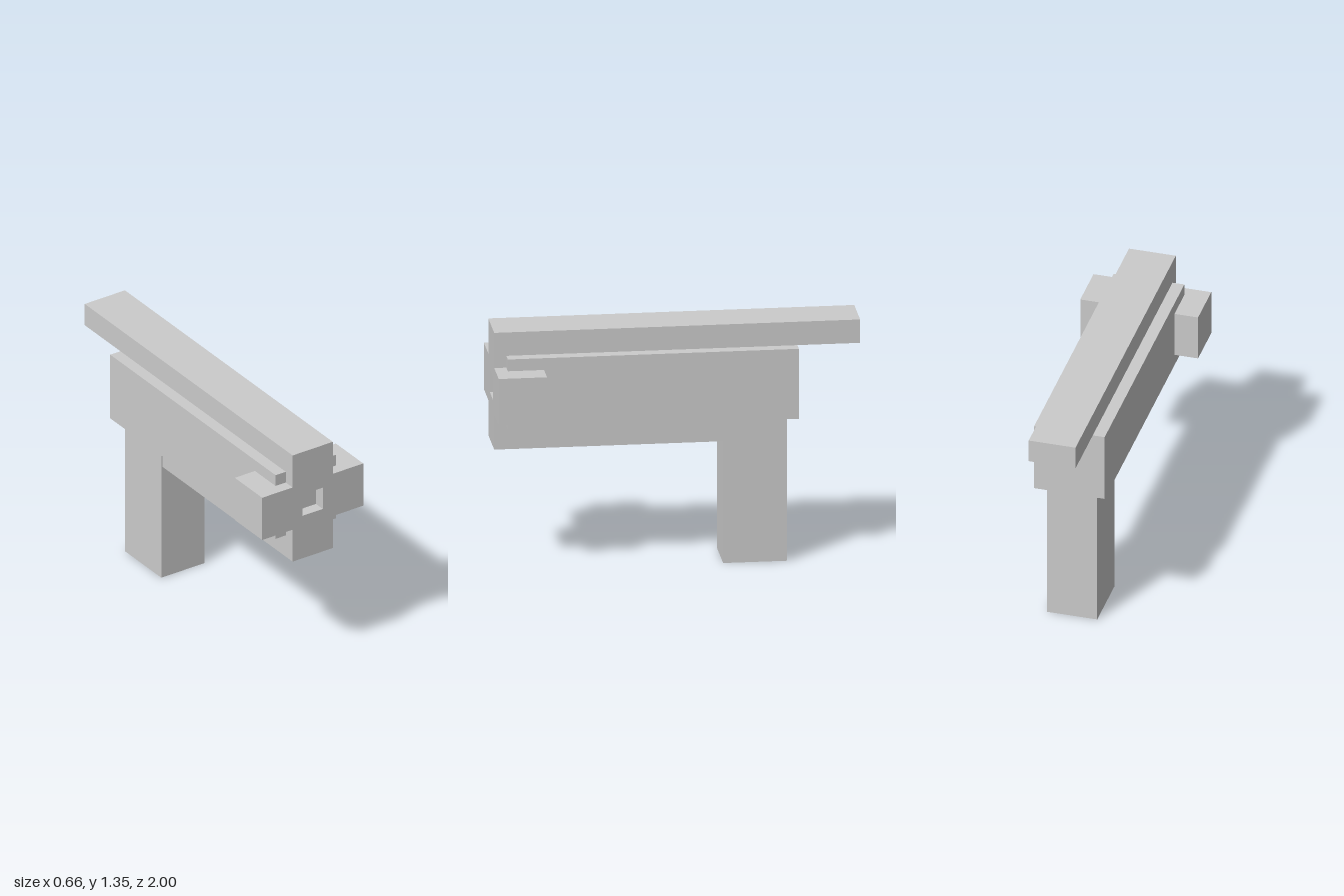
import * as THREE from 'three';

const material = new THREE.MeshStandardMaterial({ color: 0xcccccc, flatShading: true });

// Box given by its lower and upper limits on each axis
function block(name, [x0, x1], [y0, y1], [z0, z1]) {
  const mesh = new THREE.Mesh(new THREE.BoxGeometry(x1 - x0, y1 - y0, z1 - z0), material);
  mesh.position.set((x0 + x1) / 2, (y0 + y1) / 2, (z0 + z1) / 2);
  mesh.name = name;
  return mesh;
}

export function createModel() {
  const group = new THREE.Group();
  group.name = 'blockPistol';
  const bodyFront = 0.934, front = 1, centreY = 1.022;
  const bodyTop = 1.221, bodyBottom = 0.823;

  // Main body, rails and grip
  group.add(
    block('body', [-0.199, 0.199], [bodyBottom, bodyTop], [-0.657, bodyFront]),
    block('topRail', [-0.132, 0.132], [bodyTop, 1.354], [-1, bodyFront]),
    block('bottomRail', [-0.132, 0.132], [0.69, bodyBottom], [-0.25, bodyFront]),
    block('grip', [-0.141, 0.141], [0, bodyBottom], [-0.6, -0.25])
  );

  // Cross-shaped muzzle plate with a square bore
  const a = 0.132, b = 0.332, h = 0.0665;
  const cross = new THREE.Shape([
    [a, -b], [a, -a], [b, -a], [b, a], [a, a], [a, b],
    [-a, b], [-a, a], [-b, a], [-b, -a], [-a, -a], [-a, -b],
  ].map(([x, y]) => new THREE.Vector2(x, y)));
  cross.holes.push(new THREE.Path([
    [-h, -h], [-h, h], [h, h], [h, -h],
  ].map(([x, y]) => new THREE.Vector2(x, y))));
  const muzzle = new THREE.Mesh(
    new THREE.ExtrudeGeometry(cross, { depth: front - bodyFront, bevelEnabled: false }), material);
  muzzle.position.set(0, centreY, bodyFront);
  muzzle.name = 'muzzlePlate';
  group.add(muzzle);

  // Side blocks running back from the arms of the cross
  for (const [name, s] of [['leftSideBlock', 1], ['rightSideBlock', -1]]) {
    const xs = [s * 0.199, s * b].sort((p, q) => p - q);
    group.add(block(name, xs, [centreY - a, centreY + a], [0.736, bodyFront]));
  }
  return group;
}
